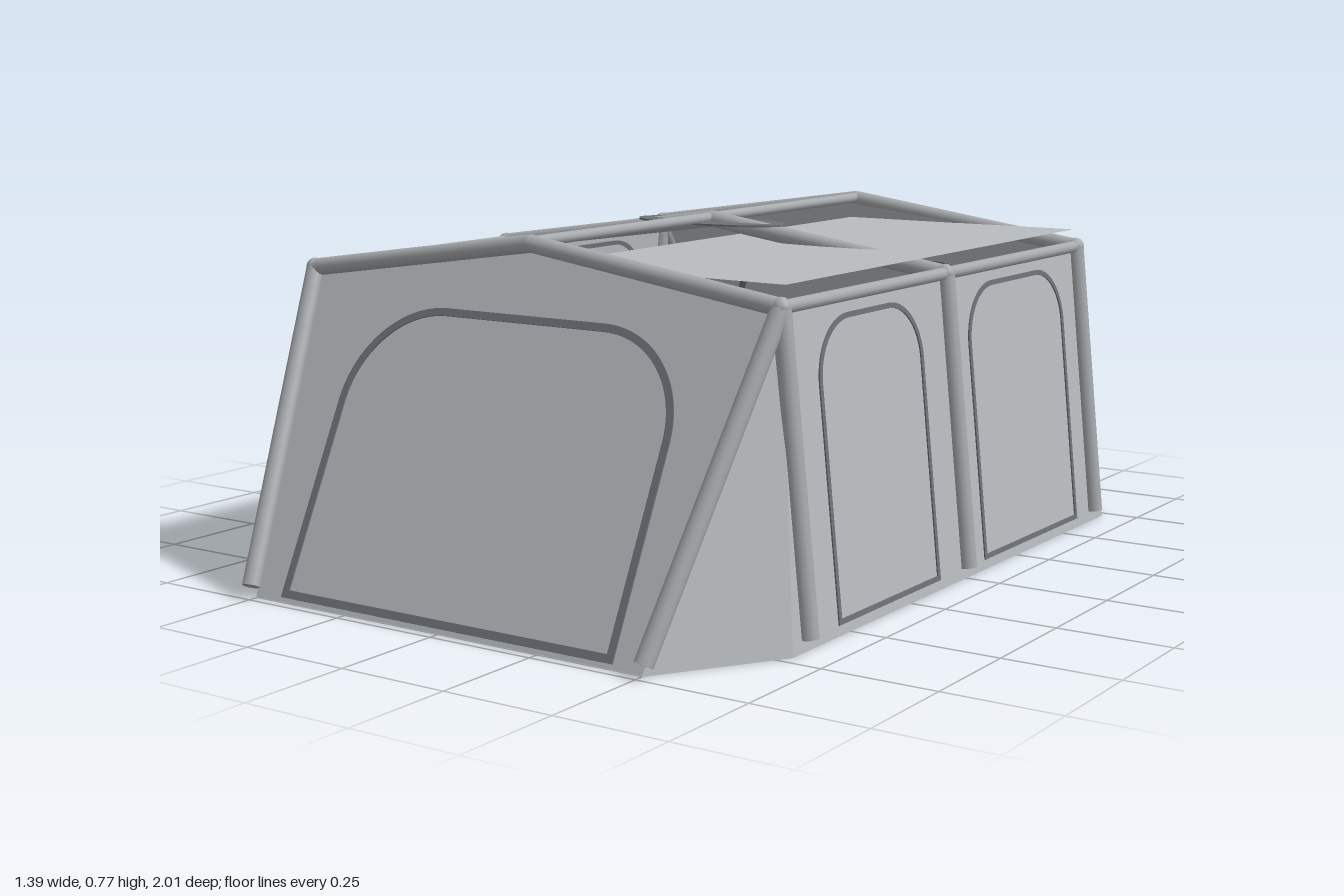
import * as THREE from 'three';

const V = (x, y, z) => new THREE.Vector3(x, y, z);

export function createModel() {
  const fabric = new THREE.MeshStandardMaterial({ name: 'fabric', color: 0xb9bdc0, side: THREE.DoubleSide });
  const poleMat = new THREE.MeshStandardMaterial({ name: 'pole', color: 0xa8abae });
  const trim = new THREE.MeshStandardMaterial({ name: 'trim', color: 0x6e7278, side: THREE.DoubleSide });
  const root = new THREE.Group();
  root.name = 'frameTent';

  const add = (name, geo, mat) => {
    const mesh = new THREE.Mesh(geo, mat);
    mesh.name = name;
    root.add(mesh);
    return mesh;
  };

  // Flat convex panel as a triangle fan
  const panel = (name, pts) => {
    const pos = [];
    for (let i = 1; i < pts.length - 1; i++) {
      for (const p of [pts[0], pts[i], pts[i + 1]]) pos.push(...p);
    }
    const geo = new THREE.BufferGeometry();
    geo.setAttribute('position', new THREE.Float32BufferAttribute(pos, 3));
    geo.computeVertexNormals();
    return add(name, geo, fabric);
  };

  // Straight round pole between two points
  const pole = (name, a, b, r) => {
    const dir = b.clone().sub(a);
    const mesh = add(name, new THREE.CylinderGeometry(r, r, dir.length(), 12), poleMat);
    mesh.position.copy(a).add(b).multiplyScalar(0.5);
    mesh.quaternion.setFromUnitVectors(V(0, 1, 0), dir.normalize());
  };
  const joint = (p, r) => add('poleJoint', new THREE.SphereGeometry(r, 12, 8), poleMat).position.copy(p);

  // Door outline with rounded top corners
  const trace = (path, l, r, b, t, rad) => {
    path.moveTo(l, b);
    path.lineTo(r, b);
    path.lineTo(r, t - rad);
    path.absarc(r - rad, t - rad, rad, 0, Math.PI / 2, false);
    path.lineTo(l + rad, t);
    path.absarc(l + rad, t - rad, rad, Math.PI / 2, Math.PI, false);
    path.lineTo(l, b);
    return path;
  };
  const doorTrim = (name, origin, up, u, [l, r, b, t, rad, w]) => {
    const shape = trace(new THREE.Shape(), l, r, b, t, rad);
    shape.holes.push(trace(new THREE.Path(), l + w, r - w, b + w, t - w, rad - w));
    const geo = new THREE.ExtrudeGeometry(shape, { depth: 0.006, bevelEnabled: false, curveSegments: 10 });
    geo.translate(0, 0, -0.003);
    const v = up.clone().normalize();
    const m = new THREE.Matrix4().makeBasis(u, v, u.clone().cross(v));
    geo.applyMatrix4(m.setPosition(origin));
    add(name, geo, trim);
  };

  // Floor
  panel('floor', [[0.5, 0.002, 0.98], [0.67, 0.002, 0.72], [0.67, 0.002, -0.72], [0.5, 0.002, -0.98],
    [-0.5, 0.002, -0.98], [-0.67, 0.002, -0.72], [-0.67, 0.002, 0.72], [-0.5, 0.002, 0.98]]);

  for (const s of [1, -1]) {
    const end = s > 0 ? 'front' : 'back';
    const side = s > 0 ? 'left' : 'right';

    // Leaning end wall with its wide door
    panel(end + 'Wall', [[-0.5 * s, 0, 0.98 * s], [0.5 * s, 0, 0.98 * s], [0.6 * s, 0.67, 0.655 * s],
      [0, 0.745, 0.619 * s], [-0.6 * s, 0.67, 0.655 * s]]);
    doorTrim(end + 'DoorTrim', V(0, 0, 0.98 * s), V(0, 0.67, -0.325 * s), V(s, 0, 0),
      [-0.43, 0.43, 0.012, 0.672, 0.225, 0.017]);

    // Side wall with two doors
    panel(side + 'Wall', [[0.67 * s, 0, 0.72 * s], [0.67 * s, 0, -0.72 * s],
      [0.6 * s, 0.67, -0.655 * s], [0.6 * s, 0.67, 0.655 * s]]);
    for (const [z0, z1] of [[0.12, 0.545], [-0.575, -0.09]]) {
      const l = s > 0 ? -z1 : z0, r = s > 0 ? -z0 : z1;
      doorTrim(side + 'DoorTrim', V(0.67 * s, 0, 0), V(-0.07 * s, 0.67, 0), V(0, 0, -s),
        [l, r, 0.022, 0.632, 0.13, 0.011]);
    }

    // Eave pole
    pole(side + 'EavePole', V(0.605 * s, 0.665, -0.665), V(0.605 * s, 0.665, 0.665), 0.014);

    for (const e of [1, -1]) {
      // Corner gusset, wound to face outwards
      const tri = [[0.67 * s, 0, 0.72 * e], [0.6 * s, 0.67, 0.655 * e], [0.5 * s, 0, 0.98 * e]];
      panel('cornerPanel', s * e > 0 ? tri : tri.reverse());
      // Slanted corner leg
      pole('cornerLeg', V(0.605 * s, 0.665, 0.665 * e), V(0.508 * s, 0.025, 0.985 * e), 0.02);
    }

    // Side legs and roof bows
    for (const z of [-0.665, 0, 0.665]) {
      const eave = V(0.605 * s, 0.665, z);
      pole('sideLeg', V(0.673 * s, 0.025, z), eave, 0.02);
      pole('roofBow', eave, V(0, 0.752, z), 0.019);
      joint(eave, 0.021);
    }
  }

  // Ridge pole and apex joints
  pole('ridgePole', V(0, 0.755, -0.665), V(0, 0.755, 0.665), 0.012);
  for (const z of [-0.665, 0, 0.665]) joint(V(0, 0.752, z), 0.019);

  // Flat roof sheet covering one half
  panel('roofSheet', [[0, 0.707, 0.635], [0.605, 0.707, 0.65], [0.605, 0.707, -0.65], [0, 0.707, -0.635]]);

  // Oval plate at the ridge centre
  const plate = add('ridgePlate', new THREE.CylinderGeometry(1, 1, 0.004, 40), trim);
  plate.scale.set(0.195, 1, 0.085);
  plate.position.y = 0.746;

  return root;
}
